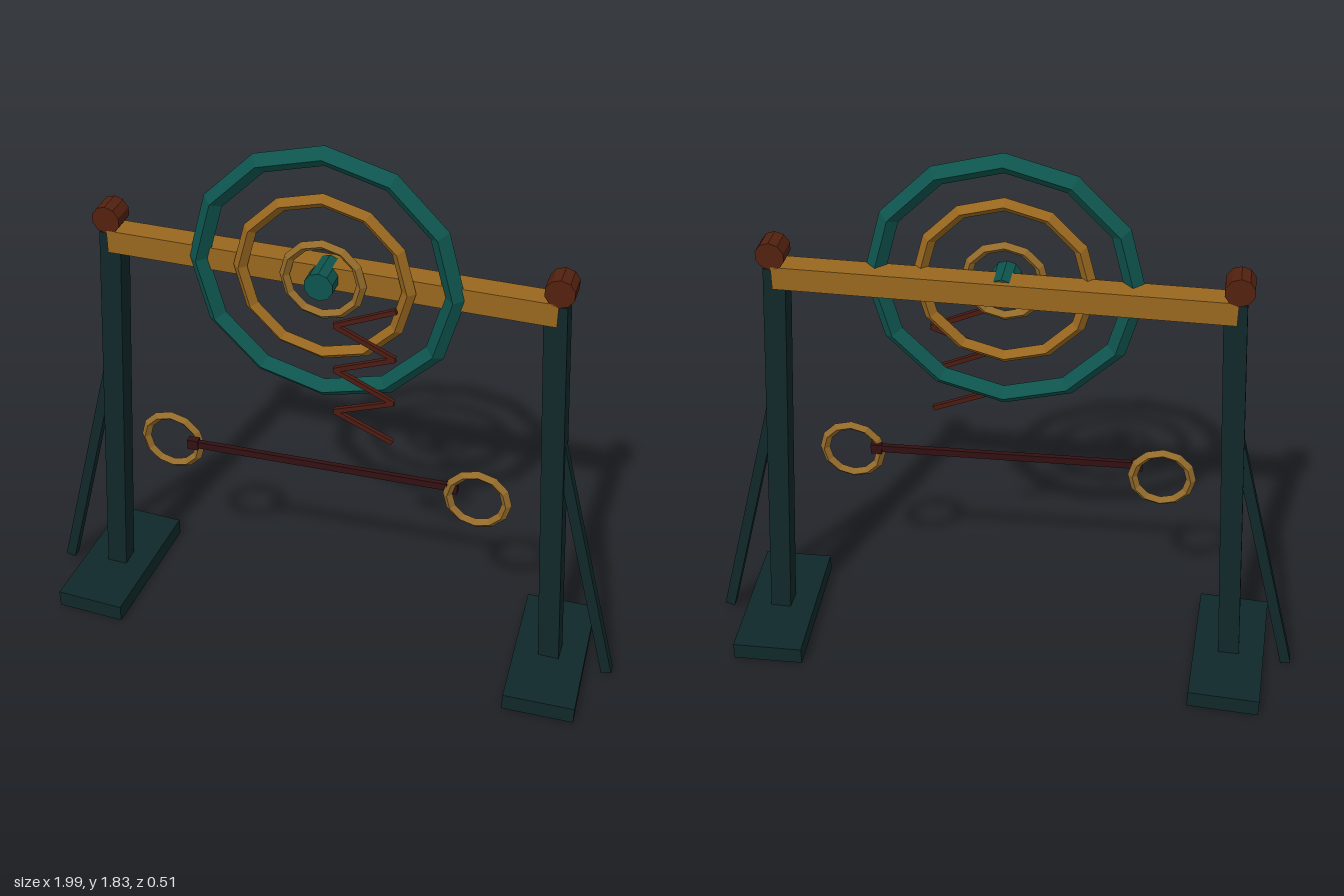
import * as THREE from 'three';

const paint = (name, color) => {
  const m = new THREE.MeshStandardMaterial({ color, flatShading: true });
  m.name = name;
  return m;
};

export function createModel() {
  const model = new THREE.Group();
  model.name = 'wheelFrame';
  const darkGreen = paint('darkGreen', 0x10282a);
  const teal = paint('teal', 0x0e544e);
  const ochre = paint('ochre', 0x98671f);
  const brass = paint('brass', 0x936a2a);
  const rust = paint('rust', 0x53210f);
  const maroon = paint('maroon', 0x331012);
  const springRed = paint('springRed', 0x4c1b12);

  const add = (name, geometry, material, x = 0, y = 0, z = 0) => {
    const mesh = new THREE.Mesh(geometry, material);
    mesh.name = name;
    mesh.position.set(x, y, z);
    model.add(mesh);
    return mesh;
  };
  const box = (name, w, h, d, material, x, y, z) =>
    add(name, new THREE.BoxGeometry(w, h, d), material, x, y, z);

  // Square bar running between two points
  const strut = (name, a, b, w, d, material) => {
    const from = new THREE.Vector3(...a), to = new THREE.Vector3(...b);
    const dir = to.clone().sub(from);
    const mid = from.clone().add(to).multiplyScalar(0.5);
    const mesh = box(name, w, dir.length(), d, material, mid.x, mid.y, mid.z);
    mesh.quaternion.setFromUnitVectors(new THREE.Vector3(0, 1, 0), dir.normalize());
    return mesh;
  };

  // Twelve-sided ring with a diamond section
  const ring = (name, radius, tube, material, x, y, z) =>
    add(name, new THREE.TorusGeometry(radius, tube, 4, 12), material, x, y, z);

  // Short round peg lying along z
  const peg = (name, radius, length, material, x, y, z) =>
    add(name, new THREE.CylinderGeometry(radius, radius, length, 10).rotateX(Math.PI / 2),
      material, x, y, z);

  // Side supports, mirrored
  for (const [s, side] of [[1, 'left'], [-1, 'right']]) {
    const foot = box(side + 'Foot', 0.236, 0.06, 0.5, darkGreen, s * 0.786, 0.03, 0);
    foot.rotation.y = s * 0.038;
    strut(side + 'Post', [s * 0.787, 0.03, 0], [s * 0.693, 1.425, 0], 0.07, 0.07, darkGreen);
    strut(side + 'Brace', [s * 0.98, 0.025, 0], [s * 0.738, 0.95, 0], 0.034, 0.034, darkGreen);
    peg(side + 'Knob', 0.046, 0.078, rust, s * 0.702, 1.472, 0);
  }

  // Cross beam
  box('beam', 1.405, 0.076, 0.078, ochre, 0, 1.398, 0);

  // Concentric wheel rings and hub
  ring('outerRing', 0.4, 0.032, teal, 0, 1.398, 0.035);
  ring('middleRing', 0.263, 0.022, ochre, 0, 1.398, 0.045);
  ring('innerRing', 0.12, 0.016, brass, 0, 1.398, 0.052);
  peg('hub', 0.046, 0.117, teal, 0, 1.398, 0.0385);

  // Zigzag spring
  const zigzag = [1.36, 1.275, 1.19, 1.115, 1.03, 0.96, 0.88]
    .map((y, i) => [i % 2 ? 0.05 : 0.24, y, 0.095]);
  for (let i = 0; i < zigzag.length - 1; i++) {
    strut('springRod', zigzag[i], zigzag[i + 1], 0.016, 0.014, springRed);
  }

  // Lower rings with a slightly skewed bar between them
  ring('leftGripRing', 0.095, 0.016, brass, 0.513, 0.7, 0.07);
  ring('rightGripRing', 0.095, 0.016, brass, -0.513, 0.7, 0.07);
  const bar = new THREE.Group();
  bar.name = 'gripBar';
  bar.position.set(0, 0.722, 0.079);
  bar.rotation.y = 0.042;
  const part = (name, w, h, d, x) => {
    const mesh = new THREE.Mesh(new THREE.BoxGeometry(w, h, d), maroon);
    mesh.name = name;
    mesh.position.x = x;
    bar.add(mesh);
  };
  part('barRod', 0.86, 0.024, 0.016, 0);
  part('barLeftEnd', 0.036, 0.035, 0.024, 0.43);
  part('barRightEnd', 0.036, 0.035, 0.024, -0.43);
  model.add(bar);

  return model;
}
